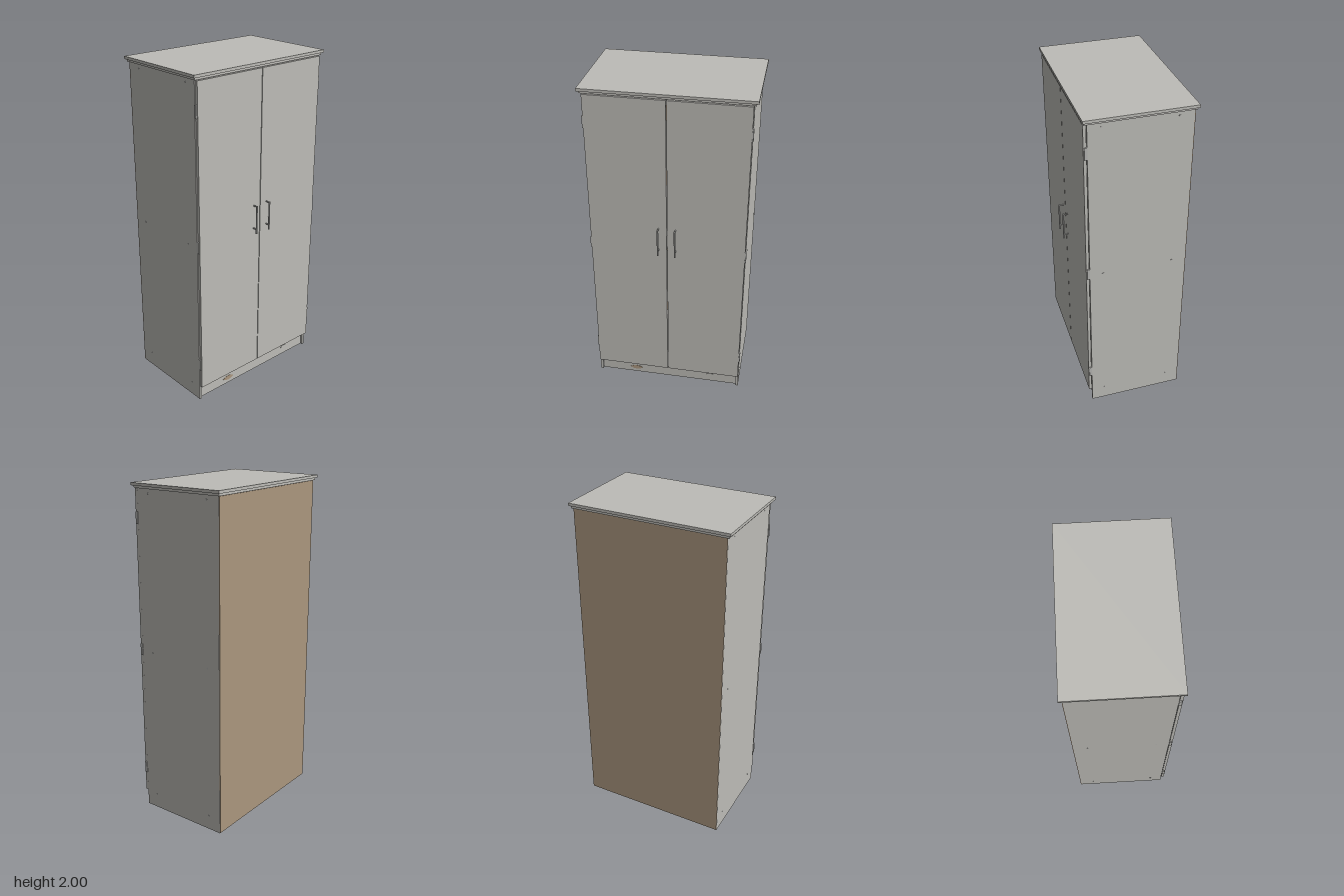
import * as THREE from 'three';

export function createModel() {
  const root = new THREE.Group();
  const grey = new THREE.MeshStandardMaterial({ name: 'paleGreyPanel', color: 0xbdbcb7 });
  const brown = new THREE.MeshStandardMaterial({ name: 'brownBoard', color: 0xaa967e });
  const metal = new THREE.MeshStandardMaterial({ name: 'handleMetal', color: 0xb5b5b2 });

  const add = (name, geometry, material) => {
    const mesh = new THREE.Mesh(geometry, material);
    mesh.name = name;
    root.add(mesh);
    return mesh;
  };
  // Box given by its limits on each axis
  const box = (name, x0, x1, y0, y1, z0, z1, material = grey) => {
    const mesh = add(name, new THREE.BoxGeometry(x1 - x0, y1 - y0, z1 - z0), material);
    mesh.position.set((x0 + x1) / 2, (y0 + y1) / 2, (z0 + z1) / 2);
    return mesh;
  };

  // Carcass
  const inner = 0.442;
  box('backPanel', -0.457, 0.457, 0.002, 1.968, -0.306, -0.302, brown);
  box('floorPanel', -inner, inner, 0.078, 0.094, -0.302, 0.262);
  box('middleShelf', -inner, inner, 1.012, 1.028, -0.302, 0.25);
  box('ceilingPanel', -inner, inner, 1.952, 1.968, -0.302, 0.266);
  box('plinthBoard', -inner, inner, 0, 0.078, 0.236, 0.252);

  // Stepped cornice
  box('corniceLower', -0.468, 0.468, 1.97, 1.984, -0.312, 0.282);
  box('corniceTop', -0.48, 0.48, 1.984, 2, -0.32, 0.293);

  for (const side of [-1, 1]) {
    const sideBox = (name, xa, xb, ...rest) =>
      box(name, Math.min(side * xa, side * xb), Math.max(side * xa, side * xb), ...rest);

    sideBox('sidePanel', inner, 0.458, 0, 1.97, -0.302, 0.266);
    sideBox('door', 0.002, 0.455, 0.095, 1.966, 0.269, 0.286);

    // Hinges on the outer door edge
    for (const y of [0.255, 1.03, 1.805]) {
      sideBox('hinge', 0.452, 0.462, y - 0.035, y + 0.035, 0.266, 0.282, metal);
    }

    // Bar handle on two posts
    const bar = add('handleBar', new THREE.CylinderGeometry(0.005, 0.005, 0.175, 16), metal);
    bar.position.set(side * 0.05, 1.09, 0.313);
    for (const y of [1.03, 1.173]) {
      const post = add('handlePost', new THREE.CylinderGeometry(0.004, 0.004, 0.028, 12), metal);
      post.rotation.x = Math.PI / 2;
      post.position.set(side * 0.05, y, 0.299);
    }

    // Screw caps on the side panels
    for (const y of [0.087, 1.02, 1.945]) {
      for (const z of [-0.22, 0.19]) {
        const cap = add('screwCap', new THREE.CylinderGeometry(0.005, 0.005, 0.002, 12), metal);
        cap.rotation.z = Math.PI / 2;
        cap.position.set(side * 0.4585, y, z);
      }
    }
  }

  // Small plaques on the plinth
  const plaque = (name, points, x, y, material) => {
    const shape = new THREE.Shape(points.map(([px, py]) => new THREE.Vector2(px, py)));
    const geometry = new THREE.ExtrudeGeometry(shape, { depth: 0.003, bevelEnabled: false });
    add(name, geometry, material).position.set(x, y, 0.251);
  };
  plaque('brownPlaque', [[-0.042, 0], [-0.02, -0.012], [0, -0.015], [0.02, -0.012],
    [0.042, 0], [0.02, 0.012], [0, 0.015], [-0.02, 0.012]], -0.217, 0.037, brown);
  const oval = Array.from({ length: 16 }, (_, i) => {
    const a = (i / 16) * Math.PI * 2;
    return [0.023 * Math.cos(a), 0.012 * Math.sin(a)];
  });
  plaque('palePlaque', oval, 0.272, 0.051, grey);

  return root;
}
